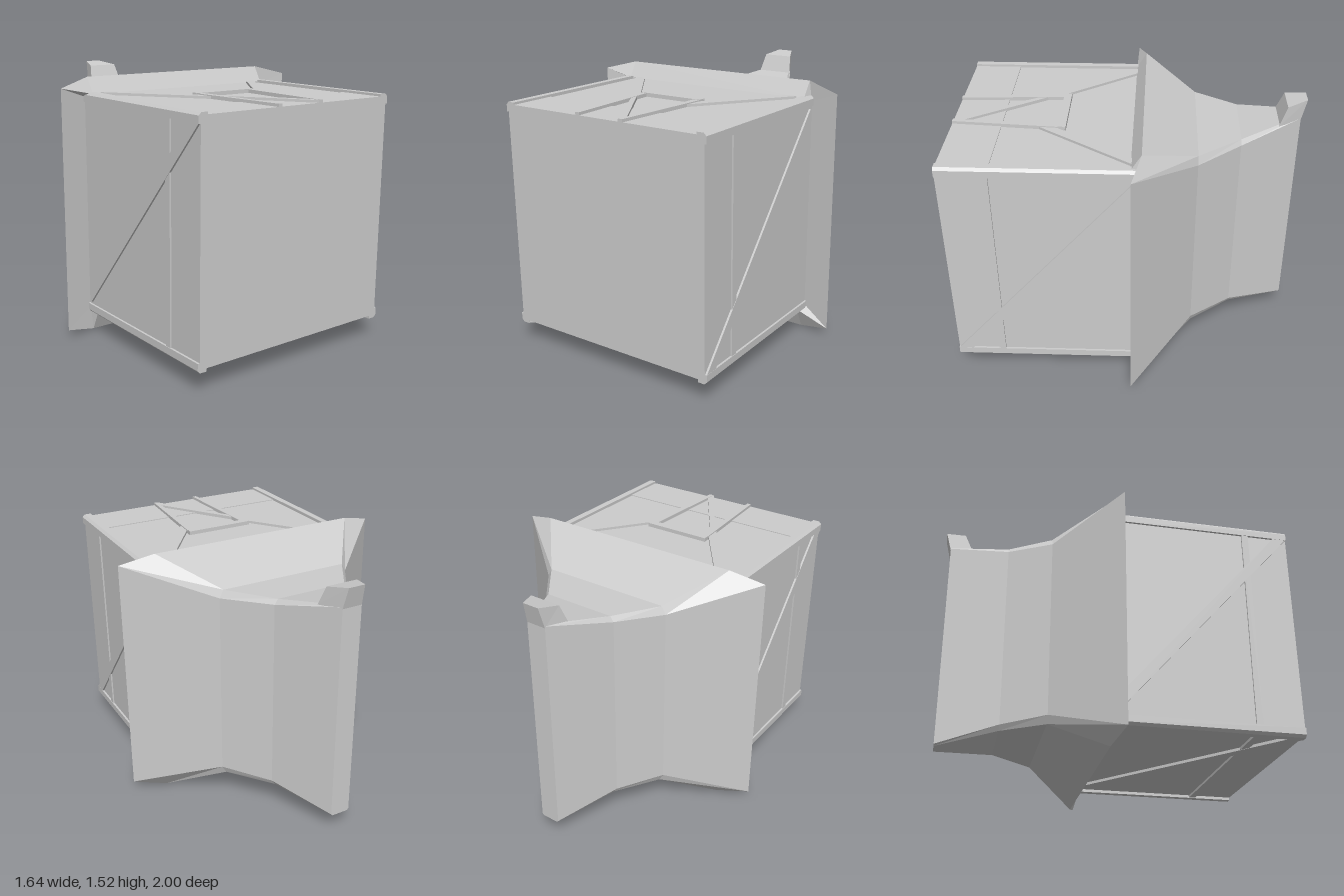
import * as THREE from 'three';

const MAT = new THREE.MeshStandardMaterial({ color: 0xcccccc, flatShading: true });
const CY = 0.775; // height of the box axis

function add(parent, name, geo) {
  const m = new THREE.Mesh(geo, MAT);
  m.name = name;
  parent.add(m);
  return m;
}

// Flat plate with outline [x, z], between heights lo and hi
function slab(pts, lo, hi) {
  const shape = new THREE.Shape(pts.map(([x, z]) => new THREE.Vector2(x, -z)));
  return new THREE.ExtrudeGeometry(shape, { depth: hi - lo, bevelEnabled: false })
    .rotateX(-Math.PI / 2).translate(0, lo, 0);
}

// Eight-cornered cross-section with chamfer k across and c up
function section({ L, R, yb, yt, k, c, zTop, zSide }) {
  return [
    [R, yb + c, zSide], [R, yt - c, zSide], [R - k, yt, zTop], [L + k, yt, zTop],
    [L, yt - c, zSide], [L, yb + c, zSide], [L + k, yb, zTop], [R - k, yb, zTop],
  ];
}

// Skin over cross-sections running front to back, with the back end closed
function loft(rings) {
  const pos = [];
  const n = rings[0].length;
  for (let i = 0; i < rings.length - 1; i++) {
    for (let j = 0; j < n; j++) {
      const a = rings[i][j], b = rings[i][(j + 1) % n];
      const d = rings[i + 1][j], c = rings[i + 1][(j + 1) % n];
      pos.push(...a, ...d, ...c, ...a, ...c, ...b);
    }
  }
  const end = rings[rings.length - 1];
  for (let j = 1; j < n - 1; j++) pos.push(...end[0], ...end[j + 1], ...end[j]);
  const g = new THREE.BufferGeometry();
  g.setAttribute('position', new THREE.Float32BufferAttribute(pos, 3));
  g.computeVertexNormals();
  return g;
}

function createBox() {
  const box = new THREE.Group();
  box.name = 'box';
  box.position.y = CY;
  add(box, 'core', new THREE.BoxGeometry(1.285, 1.275, 1.1).translate(0, 0, 0.45));

  // Corner rails with a chamfered outer edge
  const o = 0.655, i = 0.6, e = 0.64;
  const corner = new THREE.Shape([[i, i], [o, i], [o, e], [e, o], [i, o]].map(p => new THREE.Vector2(...p)));
  for (let q = 0; q < 4; q++) {
    add(box, 'cornerRail', new THREE.ExtrudeGeometry(corner, { depth: 1.08, bevelEnabled: false })
      .translate(0, 0, -0.08)).rotation.z = q * Math.PI / 2;
  }

  // Sides and bottom: one cross bar and one diagonal brace each
  for (const turn of [-1, 1, 2]) {
    const face = new THREE.Group();
    face.name = 'facePanel';
    face.rotation.z = turn * Math.PI / 2;
    add(face, 'crossBar', slab([[-i, 0.72], [i, 0.72], [i, 0.76], [-i, 0.76]], 0.62, 0.652));
    add(face, 'diagonalBrace', slab([[0.605, 1], [-0.585, -0.04], [-0.495, -0.04], [0.605, 0.92]], 0.62, 0.654));
    box.add(face);
  }

  // Top: low front plate, slanting braces and a tapered frame
  const top = new THREE.Group();
  top.name = 'topPanel';
  add(top, 'frontPlate', slab([[-i, 0.72], [i, 0.72], [i, 1], [-i, 1]], 0.62, 0.642));
  for (const s of [-1, 1]) {
    add(top, 'topBrace', slab([[s * 0.61, -0.08], [s * 0.55, -0.08], [s * 0.19, 0.42], [s * 0.19, 0.51]], 0.62, 0.652));
    add(top, 'frameSide', slab([[s * 0.205, 0.36], [s * 0.165, 0.36], [s * 0.13, 1], [s * 0.155, 1]], 0.62, 0.658));
  }
  add(top, 'frameEnd', slab([[-0.205, 0.355], [0.205, 0.355], [0.2, 0.4], [-0.2, 0.4]], 0.62, 0.66));
  add(top, 'frameDiagonal', slab([[-0.16, 0.49], [0.135, 0.94], [0.135, 1], [0.125, 1], [-0.16, 0.54]], 0.62, 0.656));
  box.add(top);
  return box;
}

export function createModel() {
  const model = new THREE.Group();
  model.name = 'model';
  model.add(createBox());

  // Flared collar narrowing to an off-centre tail
  const rings = [
    { L: -0.64, R: 0.64, yb: 0.13, yt: 1.42, k: 0.02, c: 0.02, zTop: -0.02, zSide: -0.075 },
    { L: -0.818, R: 0.818, yb: 0.003, yt: 1.512, k: 0.195, c: 0.05, zTop: -0.078, zSide: -0.028 },
    { L: -0.425, R: 0.39, yb: 0.185, yt: 1.36, k: 0.025, c: 0.045, zTop: -0.38, zSide: -0.38 },
    { L: -0.265, R: 0.195, yb: 0.185, yt: 1.36, k: 0.02, c: 0.03, zTop: -0.625, zSide: -0.625 },
    { L: -0.105, R: 0.012, yb: 0.125, yt: 1.42, k: 0.01, c: 0.01, zTop: -0.97, zSide: -0.97 },
  ];
  add(model, 'flaredCollar', loft(rings.map(section)));

  // Raised lug on the tail, leaning back
  const lug = (L, R, zb, yb, zt, yt, inset) => [
    [R, yb, zb], [R - inset, yt, zt], [L + inset, yt, zt], [L, yb, zb],
  ];
  const lugRings = [lug(-0.15, 0.075, -0.842, 1.39, -0.885, 1.5, 0.02), lug(-0.105, 0.012, -0.97, 1.4, -1, 1.522, 0.01)];
  const [f] = lugRings;
  const centre = [0, 1, 2].map(k => f.reduce((s, p) => s + p[k] / 4, 0));
  add(model, 'tailLug', loft([f.map(() => centre), ...lugRings]));
  return model;
}
